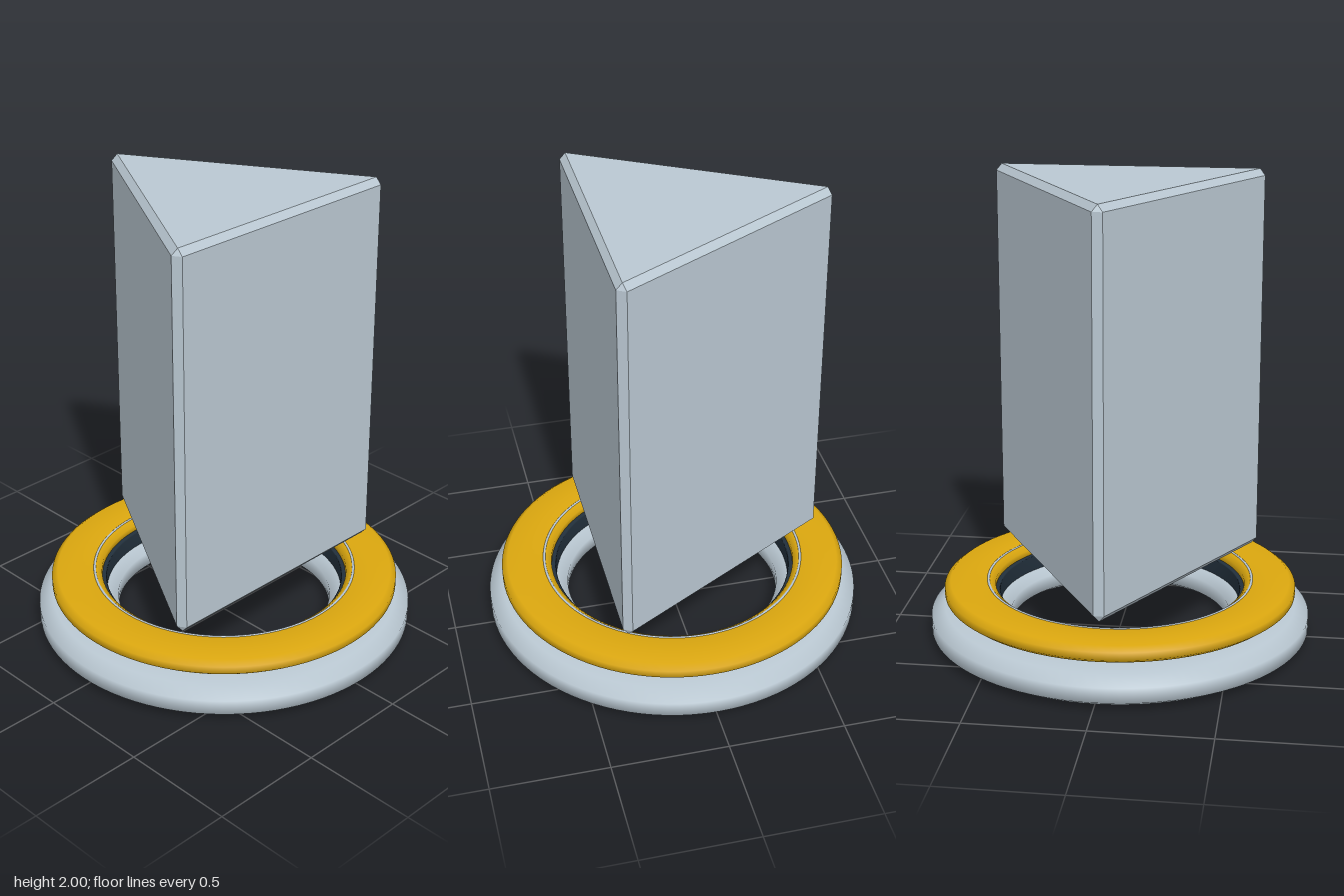
import * as THREE from 'three';
import { ConvexGeometry } from 'three/addons/geometries/ConvexGeometry.js';

const paleSteel = new THREE.MeshStandardMaterial({ color: 0xbac8d2 });
paleSteel.name = 'paleSteel';
const gold = new THREE.MeshStandardMaterial({ color: 0xdba70f });
gold.name = 'gold';
const darkSlate = new THREE.MeshStandardMaterial({ color: 0x22303c });
darkSlate.name = 'darkSlate';

function addMesh(group, name, geometry, material) {
  const mesh = new THREE.Mesh(geometry, material);
  mesh.name = name;
  group.add(mesh);
  return mesh;
}

// Ring with chamfered edges and smooth shading; the profile starts and ends on its top face
function ringGeometry(inner, outer, y0, y1, cx, cy) {
  const mid = (inner + outer) / 2;
  const profile = [
    [mid, y1], [inner + cx, y1], [inner, y1 - cy], [inner, y0 + cy], [inner + cx, y0],
    [mid, y0], [outer - cx, y0], [outer, y0 + cy], [outer, y1 - cy], [outer - cx, y1], [mid, y1],
  ].map(([r, y]) => new THREE.Vector2(r, y));
  // Reversed so the faces point outwards
  return new THREE.LatheGeometry(orient(profile), 96);
}

// Counter-clockwise profiles give outward faces on a lathe
function orient(profile) {
  return THREE.ShapeUtils.area(profile) < 0 ? profile.reverse() : profile;
}

// Triangular prism with every edge chamfered
function prismGeometry(radius, bevel, y0, y1, bevelY) {
  const points = [];
  for (let i = 0; i < 3; i++) {
    const a = -Math.PI / 2 + (i * Math.PI * 2) / 3;
    const x = radius * Math.cos(a), z = radius * Math.sin(a);
    for (const y of [y0, y1]) points.push(new THREE.Vector3(x, y, z));
    for (const side of [-1, 1]) {
      const n = a + (side * Math.PI) / 3;
      for (const y of [y0 + bevelY, y1 - bevelY]) {
        points.push(new THREE.Vector3(x + bevel * Math.cos(n), y, z + bevel * Math.sin(n)));
      }
    }
  }
  return new ConvexGeometry(points);
}

export function createModel() {
  const model = new THREE.Group();
  model.name = 'floatingPrism';

  // Stacked base rings
  addMesh(model, 'baseRing', ringGeometry(0.475, 0.828, 0, 0.135, 0.06, 0.035), paleSteel);
  addMesh(model, 'spacerRing', ringGeometry(0.525, 0.65, 0.11, 0.2, 0.004, 0.004), darkSlate);
  addMesh(model, 'goldRing', ringGeometry(0.545, 0.767, 0.173, 0.246, 0.026, 0.02), gold);

  // Thin inlaid trim on the gold ring
  const trim = addMesh(model, 'trimRing', new THREE.TorusGeometry(0.577, 0.006, 8, 96), paleSteel);
  trim.rotation.x = Math.PI / 2;
  trim.position.y = 0.244;

  // Hovering prism, flat side to the front
  addMesh(model, 'prism', prismGeometry(0.645, 0.025, 0.305, 2, 0.028), paleSteel);
  return model;
}
